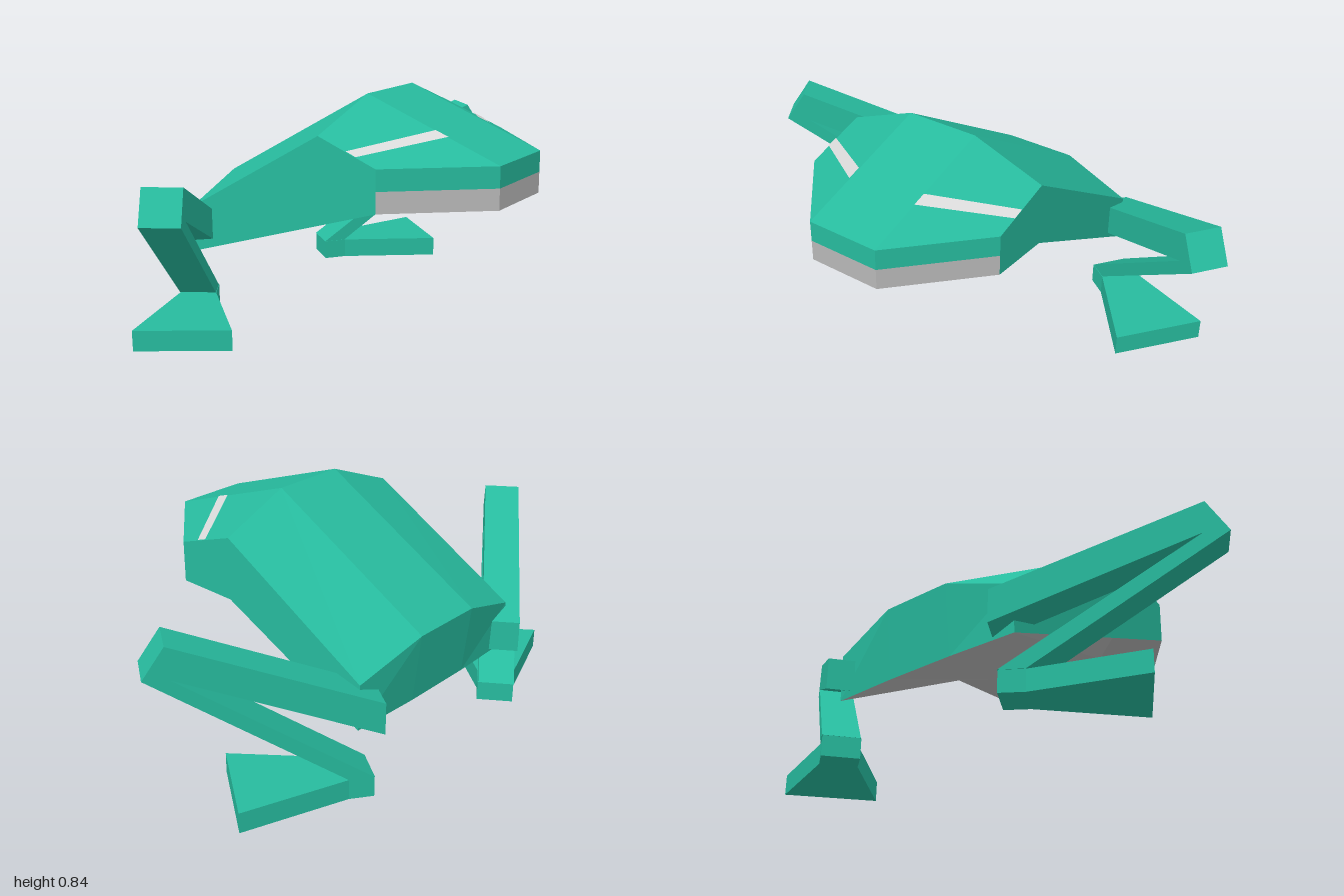
import * as THREE from 'three';

const green = new THREE.MeshStandardMaterial({ name: 'skinGreen', color: 0x27bb9e });
const grey = new THREE.MeshStandardMaterial({ name: 'bellyGrey', color: 0xb8b8b8 });
const pale = new THREE.MeshStandardMaterial({ name: 'eyePale', color: 0xdadada });

// Flat-faced mesh from convex polygons, each cut as a fan
function panels(name, material, polygons) {
  const pos = [];
  for (const p of polygons)
    for (let i = 1; i < p.length - 1; i++) pos.push(...p[0], ...p[i], ...p[i + 1]);
  const geo = new THREE.BufferGeometry();
  geo.setAttribute('position', new THREE.Float32BufferAttribute(pos, 3));
  geo.computeVertexNormals();
  const mesh = new THREE.Mesh(geo, material);
  mesh.name = name;
  return mesh;
}

const mirror = (polygon) => polygon.map(([x, y, z]) => [-x, y, z]).reverse();

// Body outline: z and y of the spine strip, z and y of the flank
const SPINE = 0.14, FLANK = 0.41;
const rows = [
  [0.61, 0.505, 0.305, 0.505],   // lip bottom
  [0.61, 0.58, 0.305, 0.58],     // mouth
  [0.61, 0.655, 0.305, 0.655],   // brow
  [0.08, 0.84, 0.07, 0.735],     // hump
  [-0.56, 0.48, -0.525, 0.395],  // rump top
  [-0.53, 0.225, -0.52, 0.225],  // rump bottom
  [0.28, 0.505, 0.07, 0.505],    // belly bend
];
const spine = (i) => [SPINE, rows[i][1], rows[i][0]];
const flank = (i) => [FLANK, rows[i][3], rows[i][2]];

// Three quads across the body between two neighbouring rows
function band(i) {
  const j = (i + 1) % rows.length;
  const [a, b] = [spine(i), spine(j)];
  const side = [a, flank(i), flank(j), b];
  const middle = [[-a[0], a[1], a[2]], a, b, [-b[0], b[1], b[2]]];
  return [side, middle, mirror(side)];
}

function createBody() {
  const body = new THREE.Group();
  body.name = 'body';
  const wall = [6, 5, 4, 3, 2, 1, 0].map(flank);
  body.add(panels('headBackAndFlanks', green,
    [...[1, 2, 3, 4].flatMap(band), wall, mirror(wall)]));
  body.add(panels('lowerLip', grey, band(0)));
  body.add(panels('belly', grey, [...band(5), ...band(6)]));

  // Eye slits lying just above the sloping sides of the head
  const lift = new THREE.Vector3(0.0564, 0.1431, 0.05).setLength(0.003);
  const eye = [[0.14, 0.725, 0.41], [0.41, 0.682, 0.225], [0.41, 0.696, 0.185], [0.14, 0.742, 0.36]]
    .map(([x, y, z]) => [x + lift.x, y + lift.y, z + lift.z]);
  body.add(panels('leftEye', pale, [eye]), panels('rightEye', pale, [mirror(eye)]));
  return body;
}

const outline = (points, side) =>
  new THREE.Shape(points.map(([x, y]) => new THREE.Vector2(side * x, y)));

// Folded leg and splayed foot; side is 1 for left, -1 for right
function createLeg(side) {
  const leg = new THREE.Group();
  leg.name = side > 0 ? 'leftLeg' : 'rightLeg';

  // Thigh and shin drawn as flat outlines, then skewed outward and forward
  const parts = {
    thigh: [[0.305, 0.35], [0.86, 0.63], [0.92, 0.52], [0.85, 0.515], [0.305, 0.235]],
    shin: [[0.85, 0.515], [0.92, 0.52], [0.4, 0.075], [0.33, 0.075]],
  };
  const run = 0.713, dx = 0.075, dz = 0.11;
  const skew = new THREE.Matrix4().set(
    1, 0, -side * dx, side * dx,
    0, 1, 0, 0,
    side * run, 0, dz, -0.5 - 0.305 * run - dz,
    0, 0, 0, 1);
  for (const [name, points] of Object.entries(parts)) {
    const geo = new THREE.ExtrudeGeometry(outline(points, side), { depth: 1, bevelEnabled: false });
    geo.applyMatrix4(skew);
    const mesh = new THREE.Mesh(geo, green);
    mesh.name = name;
    leg.add(mesh);
  }

  // Foot, drawn from above as x and -z
  const sole = [[0.33, 0.48], [0.4, 0.43], [0.64, 0.13], [0.84, 0.405], [0.475, 0.54], [0.405, 0.59]];
  const geo = new THREE.ExtrudeGeometry(outline(sole, side), { depth: 0.075, bevelEnabled: false });
  geo.rotateX(-Math.PI / 2);
  const foot = new THREE.Mesh(geo, green);
  foot.name = 'foot';
  leg.add(foot);
  return leg;
}

export function createModel() {
  const model = new THREE.Group();
  model.name = 'frog';
  model.add(createBody(), createLeg(1), createLeg(-1));
  return model;
}
